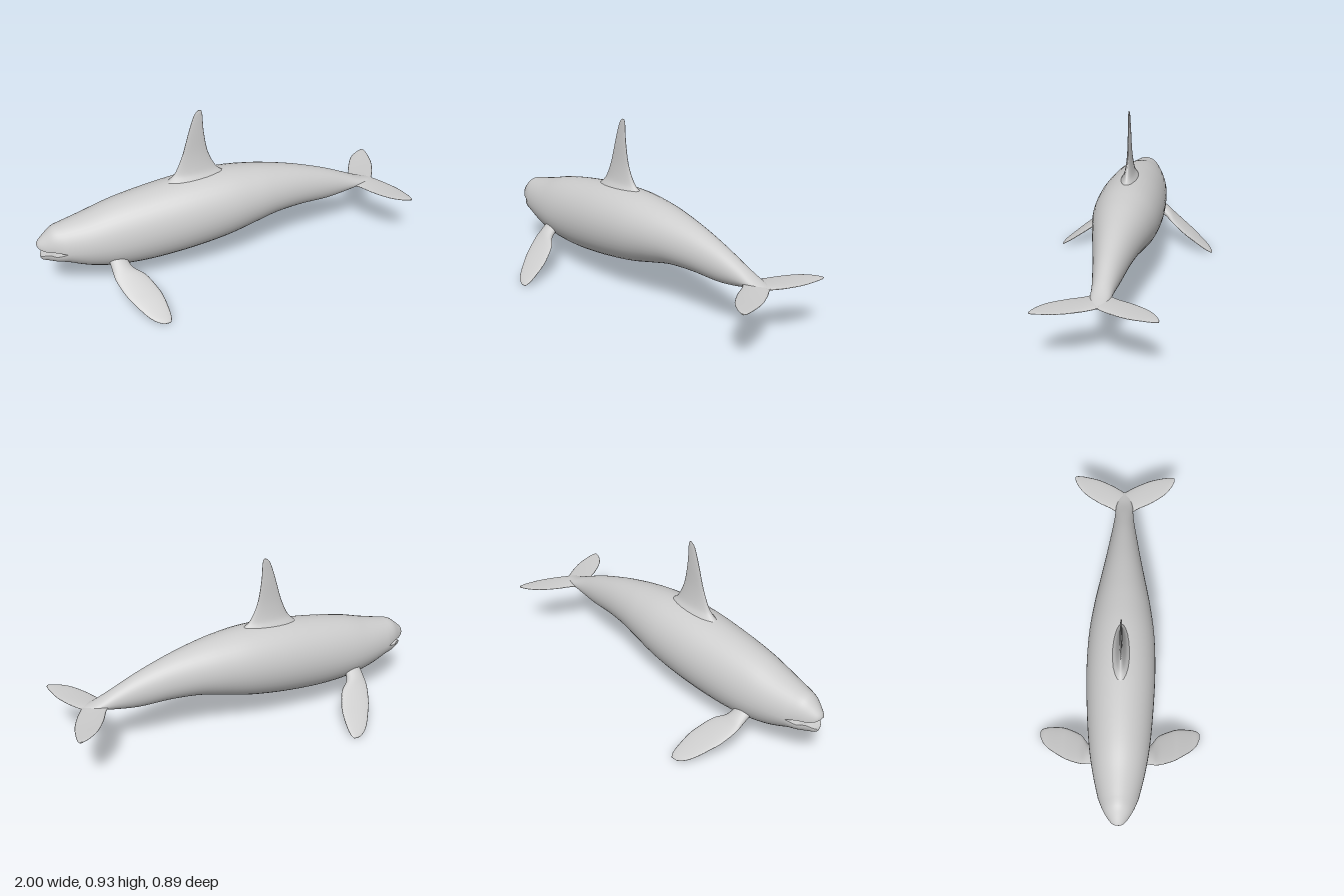
import * as THREE from 'three';
import { mergeGeometries, mergeVertices } from 'three/addons/utils/BufferGeometryUtils.js';

// Smoothly resample rows of numbers (uniform Catmull-Rom through every row)
function resample(rows, steps) {
  const out = [];
  const at = (i) => rows[Math.min(Math.max(i, 0), rows.length - 1)];
  for (let i = 0; i < rows.length - 1; i++) {
    for (let s = 0; s < steps; s++) {
      const t = s / steps;
      out.push(rows[i].map((b, k) => {
        const a = at(i - 1)[k], c = rows[i + 1][k], d = at(i + 2)[k];
        return b + 0.5 * t * (c - a + t * (2 * a - 5 * b + 4 * c - d + t * (3 * (b - c) + d - a)));
      }));
    }
  }
  out.push(rows[rows.length - 1]);
  return out;
}

// Skin a list of closed rings; capped ends get a centre point.
function loft(rings, capStart = true, capEnd = true) {
  const n = rings[0].length, pts = rings.flat(), idx = [];
  for (let r = 0; r < rings.length - 1; r++) {
    for (let i = 0; i < n; i++) {
      const a = r * n + i, b = r * n + (i + 1) % n;
      idx.push(a, b, a + n, b, b + n, a + n);
    }
  }
  const cap = (r, flip) => {
    const c = new THREE.Vector3();
    rings[r].forEach((p) => c.addScaledVector(p, 1 / n));
    pts.push(c);
    for (let i = 0; i < n; i++) {
      const a = r * n + i, b = r * n + (i + 1) % n;
      idx.push(pts.length - 1, flip ? b : a, flip ? a : b);
    }
  };
  if (capStart) cap(0, true);
  if (capEnd) cap(rings.length - 1, false);
  // Turn the faces outward, using the volume about the middle
  const mid = new THREE.Vector3();
  pts.forEach((p) => mid.addScaledVector(p, 1 / pts.length));
  const rel = pts.map((p) => p.clone().sub(mid));
  let volume = 0;
  for (let i = 0; i < idx.length; i += 3) {
    volume += rel[idx[i]].dot(rel[idx[i + 1]].clone().cross(rel[idx[i + 2]]));
  }
  if (volume < 0) idx.reverse();
  const g = new THREE.BufferGeometry().setFromPoints(pts);
  g.setIndex(idx);
  return g;
}

// Body ring from [x, top, mid, bottom, halfWidth]: two half ellipses
function bodyRing([x, top, mid, bottom, w]) {
  const n = 40;
  return Array.from({ length: n }, (_, i) => {
    const a = (i / n) * Math.PI * 2, s = Math.sin(a);
    return new THREE.Vector3(x, mid + s * (s > 0 ? top - mid : mid - bottom), w * Math.cos(a));
  });
}

// Fin from rows [centreY, centreZ, leadX, trailX, halfThickness];
// thickness runs along the unit vector (0, ty, tz)
function fin(rows, ty, tz) {
  const n = 20;
  const g = loft(resample(rows, 5).map(([y, z, lead, trail, h]) =>
    Array.from({ length: n }, (_, i) => {
      const a = (i / n) * Math.PI * 2, t = h * Math.sin(a);
      return new THREE.Vector3((lead + trail) / 2 - Math.cos(a) * (trail - lead) / 2, y + t * ty, z + t * tz);
    })));
  g.computeVertexNormals();
  return g;
}

export function createModel() {
  const model = new THREE.Group();
  const skin = new THREE.MeshStandardMaterial({ color: 0xcccccc });
  skin.name = 'paleGreySkin';
  const add = (name, geometry) => {
    const mesh = new THREE.Mesh(geometry, skin);
    mesh.name = name;
    model.add(mesh);
  };

  // Body, split into two jaws ahead of the mouth corner
  const corner = [-0.86, 0.431, 0.303, 0.214, 0.105];
  const trunk = [
    corner,
    [-0.74, 0.46, 0.305, 0.165, 0.134],
    [-0.6, 0.5, 0.31, 0.138, 0.158],
    [-0.42, 0.533, 0.33, 0.13, 0.174],
    [-0.2, 0.56, 0.355, 0.148, 0.183],
    [0, 0.566, 0.375, 0.179, 0.176],
    [0.16, 0.551, 0.385, 0.219, 0.154],
    [0.29, 0.528, 0.385, 0.249, 0.129],
    [0.44, 0.491, 0.372, 0.259, 0.1],
    [0.6, 0.437, 0.347, 0.256, 0.073],
    [0.72, 0.385, 0.327, 0.273, 0.055],
    [0.81, 0.343, 0.316, 0.298, 0.047],
    [0.87, 0.324, 0.313, 0.306, 0.032],
    [0.9, 0.317, 0.314, 0.311, 0.012],
  ];
  const upperJaw = [
    [-1, 0.338, 0.329, 0.329, 0.01],
    [-0.99, 0.354, 0.32, 0.32, 0.03],
    [-0.96, 0.382, 0.312, 0.312, 0.055],
    [-0.915, 0.417, 0.314, 0.314, 0.082],
    [corner[0], corner[1], corner[2], corner[2], corner[4]],
  ];
  const lowerJaw = [
    [-0.986, 0.262, 0.262, 0.25, 0.01],
    [-0.976, 0.273, 0.273, 0.24, 0.03],
    [-0.945, 0.288, 0.288, 0.232, 0.056],
    [-0.91, 0.285, 0.285, 0.226, 0.08],
    [corner[0], corner[2], corner[2], corner[3], corner[4]],
  ];
  const body = mergeVertices(mergeGeometries([
    loft(resample(trunk, 5).map(bodyRing), false, true),
    loft(resample(upperJaw, 4).map(bodyRing), true, false),
    loft(resample(lowerJaw, 4).map(bodyRing), true, false),
  ]), 1e-5);
  body.computeVertexNormals();
  add('body', body);

  // Tall dorsal fin with a flared base
  add('dorsalFin', fin([
    [0.52, 0, -0.34, 0.05, 0.07],
    [0.56, 0, -0.29, 0.005, 0.042],
    [0.6, 0, -0.255, -0.038, 0.024],
    [0.69, 0, -0.217, -0.079, 0.011],
    [0.81, 0, -0.183, -0.1, 0.007],
    [0.89, 0, -0.158, -0.105, 0.005],
    [0.92, 0, -0.143, -0.108, 0.004],
    [0.934, 0, -0.127, -0.114, 0.002],
  ], 0, 1));

  // Paired flippers and tail flukes
  for (const side of [1, -1]) {
    const label = side > 0 ? 'left' : 'right';
    add(label + 'Flipper', fin([
      [0.225, 0.11, -0.66, -0.57, 0.03],
      [0.19, 0.165, -0.657, -0.55, 0.024],
      [0.16, 0.21, -0.653, -0.495, 0.015],
      [0.113, 0.28, -0.625, -0.453, 0.011],
      [0.085, 0.325, -0.598, -0.437, 0.009],
      [0.042, 0.39, -0.55, -0.428, 0.007],
      [0.02, 0.425, -0.512, -0.43, 0.006],
      [0.008, 0.442, -0.475, -0.44, 0.003],
    ].map(([y, z, ...rest]) => [y, z * side, ...rest]), 0.84, 0.54 * side));
    add(label + 'Fluke', fin([
      [0.313, 0, 0.72, 0.9, 0.012],
      [0.313, 0.06, 0.785, 0.938, 0.009],
      [0.315, 0.147, 0.83, 0.978, 0.006],
      [0.318, 0.227, 0.885, 0.996, 0.005],
      [0.319, 0.27, 0.938, 1, 0.005],
      [0.319, 0.288, 0.978, 0.995, 0.003],
    ].map(([y, z, ...rest]) => [y, z * side, ...rest]), 1, 0));
  }
  return model;
}
